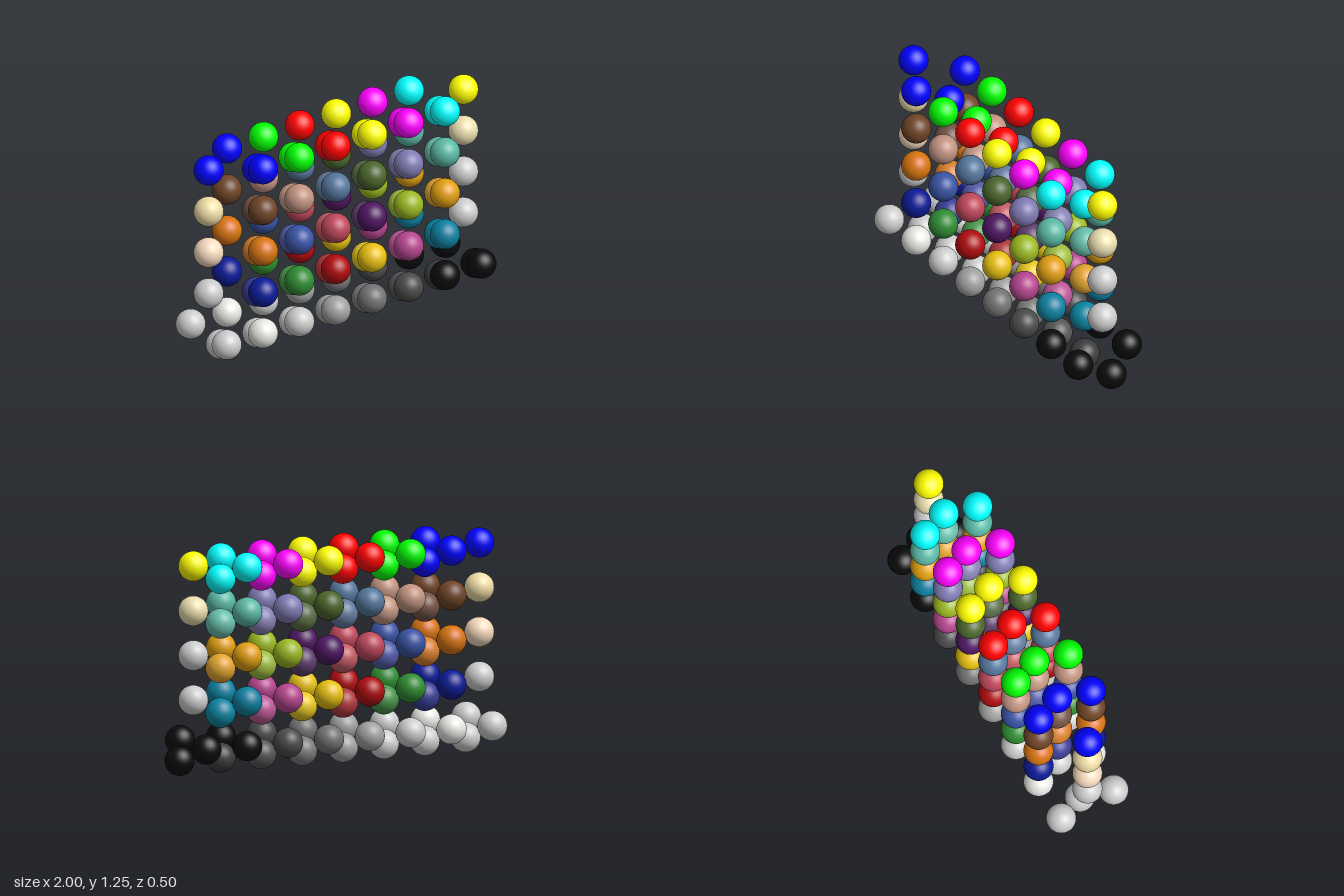
import * as THREE from 'three';

const R = 1 / 12;     // ball radius
const STEP = 0.25;    // grid pitch

// Colours per row, bottom to top: outer pair (front and back) and shifted centre ball
const bottomRow = {
  outer: [0xc8c8c8, 0xe6e6e2, 0xc8c8c8, 0xa0a0a0, 0x727272, 0x4a4a4a, 0x0a0a0a, 0x0a0a0a],
  centre: [0xc8c8c8, 0xf3f3f2, 0xc8c8c8, 0xa0a0a0, 0x7a7a79, 0x555555, 0x3c3c3c, 0x0a0a0a],
};
const pure = [0x0000ff, 0x00ff00, 0xff0000, 0xffff00, 0xff00ff, 0x00ffff];
const upperRows = [
  {
    ends: [0xf6f6f6, 0xcccccc],
    outer: [0x0a1a96, 0x2e8c32, 0xb00a0e, 0xe6c010, 0xb5458f, 0x0b80a0],
    centre: [0x383d96, 0x469449, 0xaf363c, 0xe7c71f, 0xbb5695, 0x0885a1],
  },
  {
    ends: [0xf3d9bc, 0xc4c4c4],
    outer: [0xd6730f, 0x3852a4, 0xbe465a, 0x4f1563, 0x9bb820, 0xe09f10],
    centre: [0xd67e2c, 0x505ba6, 0xc15a63, 0x5e3c6c, 0x9dbc40, 0xe0a32e],
  },
  {
    ends: [0xeedca6, 0xeadeb0],
    outer: [0x6e4326, 0xc09280, 0x54769c, 0x4a652a, 0x7f7ab2, 0x5ab7a4],
    centre: [0x735244, 0xc29682, 0x627a9d, 0x576c43, 0x8580b1, 0x67bdaa],
  },
  { ends: [0x0000ff, 0xffff00], outer: pure, centre: pure },
];

export function createModel() {
  const group = new THREE.Group();
  group.name = 'colourBallGrid';
  const geometry = new THREE.SphereGeometry(R, 32, 16);

  const addBall = (parent, name, color, x, y, z) => {
    const ball = new THREE.Mesh(geometry, new THREE.MeshStandardMaterial({ color }));
    ball.name = name;
    ball.position.set(x, y, z);
    parent.add(ball);
  };

  // A front and back ball with a third between them, shifted right and down
  const addTrio = (parent, outer, centre, x, y) => {
    addBall(parent, 'frontBall', outer, x, y, 2 * R);
    addBall(parent, 'backBall', outer, x, y, -2 * R);
    addBall(parent, 'centreBall', centre, x + R, y - R, 0);
  };

  const columnX = (i) => -1 + R + i * STEP;
  const rowY = (j) => 2 * R + j * STEP;

  // Bottom row: eight trios in greys
  const base = new THREE.Group();
  base.name = 'greyRow';
  bottomRow.outer.forEach((c, i) => addTrio(base, c, bottomRow.centre[i], columnX(i), rowY(0)));
  group.add(base);

  // Upper rows: six trios between single end balls
  upperRows.forEach(({ ends, outer, centre }, j) => {
    const row = new THREE.Group();
    row.name = `colourRow${j + 1}`;
    const y = rowY(j + 1);
    addBall(row, 'rightEndBall', ends[0], columnX(0), y, 0);
    outer.forEach((c, i) => addTrio(row, c, centre[i], columnX(i + 1), y));
    addBall(row, 'leftEndBall', ends[1], columnX(7), y, 0);
    group.add(row);
  });

  return group;
}
